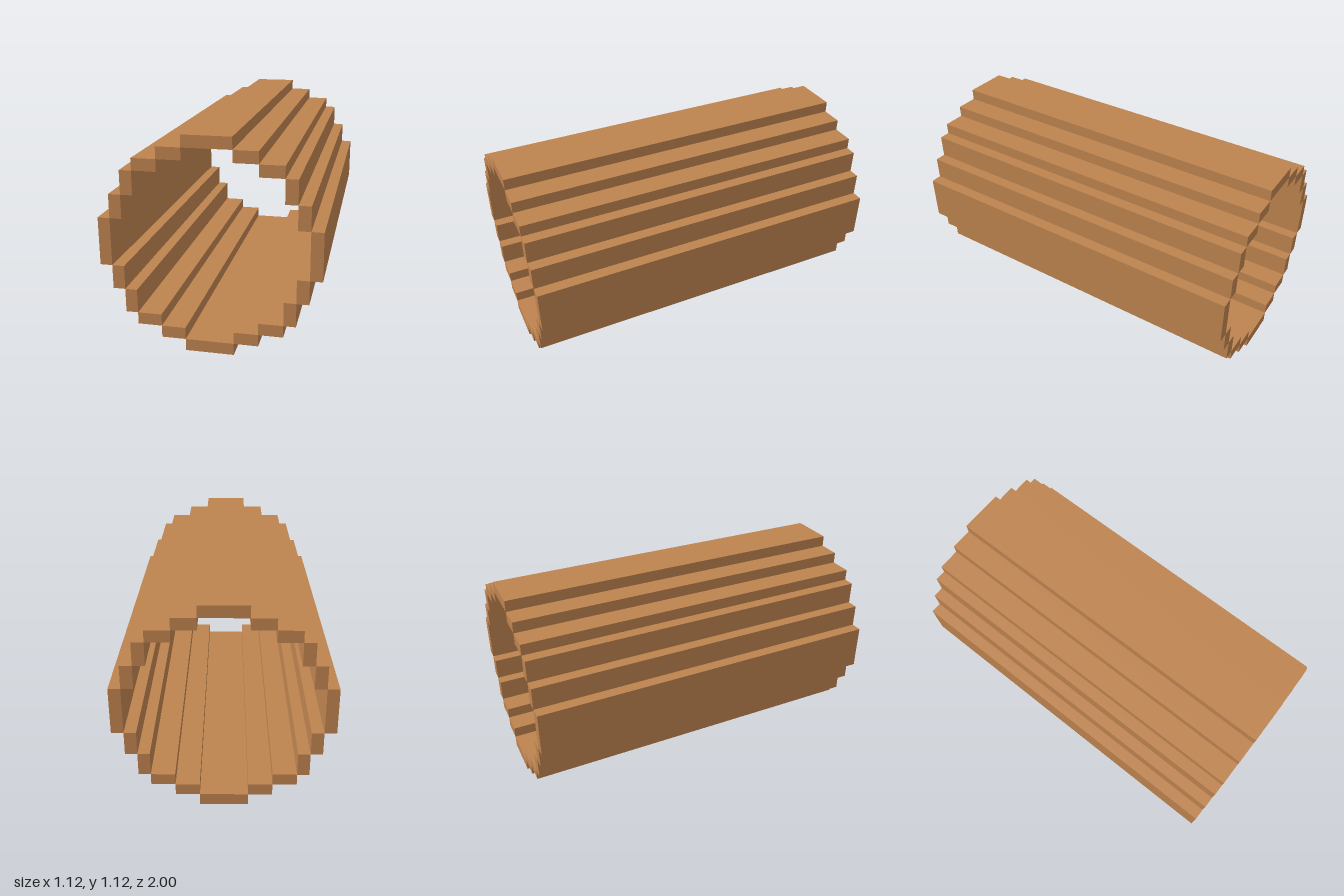
import * as THREE from 'three';

const U = 1 / 16; // width of one step of the pipe wall
const LENGTH = 2;
const CENTRE_Y = 9 * U;

export function createModel() {
  const pipe = new THREE.Group();
  pipe.name = 'steppedPipe';
  const material = new THREE.MeshStandardMaterial({ color: 0xbe834f, flatShading: true });

  // One full-length plank; centre and size are in steps from the pipe's axis
  const plank = (name, x, y, w, h) => {
    const mesh = new THREE.Mesh(new THREE.BoxGeometry(w * U, h * U, LENGTH), material);
    mesh.name = name;
    mesh.position.set(x * U, CENTRE_Y + y * U, 0);
    pipe.add(mesh);
  };

  // Wide planks at the top, bottom and both sides
  for (const s of [1, -1]) {
    plank(s > 0 ? 'topPlank' : 'bottomPlank', 0, 8.5 * s, 4, 1);
    plank(s > 0 ? 'leftPlank' : 'rightPlank', 8.5 * s, 0, 1, 4);
  }

  // Narrow planks stepping round each quarter
  const steps = [[3, 7.5], [5, 6.5]];
  for (const sx of [1, -1]) {
    for (const sy of [1, -1]) {
      const corner = (sy > 0 ? 'upper' : 'lower') + (sx > 0 ? 'Left' : 'Right');
      steps.forEach(([a, b], i) => {
        plank(`${corner}FlatPlank${i + 1}`, sx * a, sy * b, 2, 1);
        plank(`${corner}UprightPlank${i + 1}`, sx * b, sy * a, 1, 2);
      });
    }
  }
  return pipe;
}
